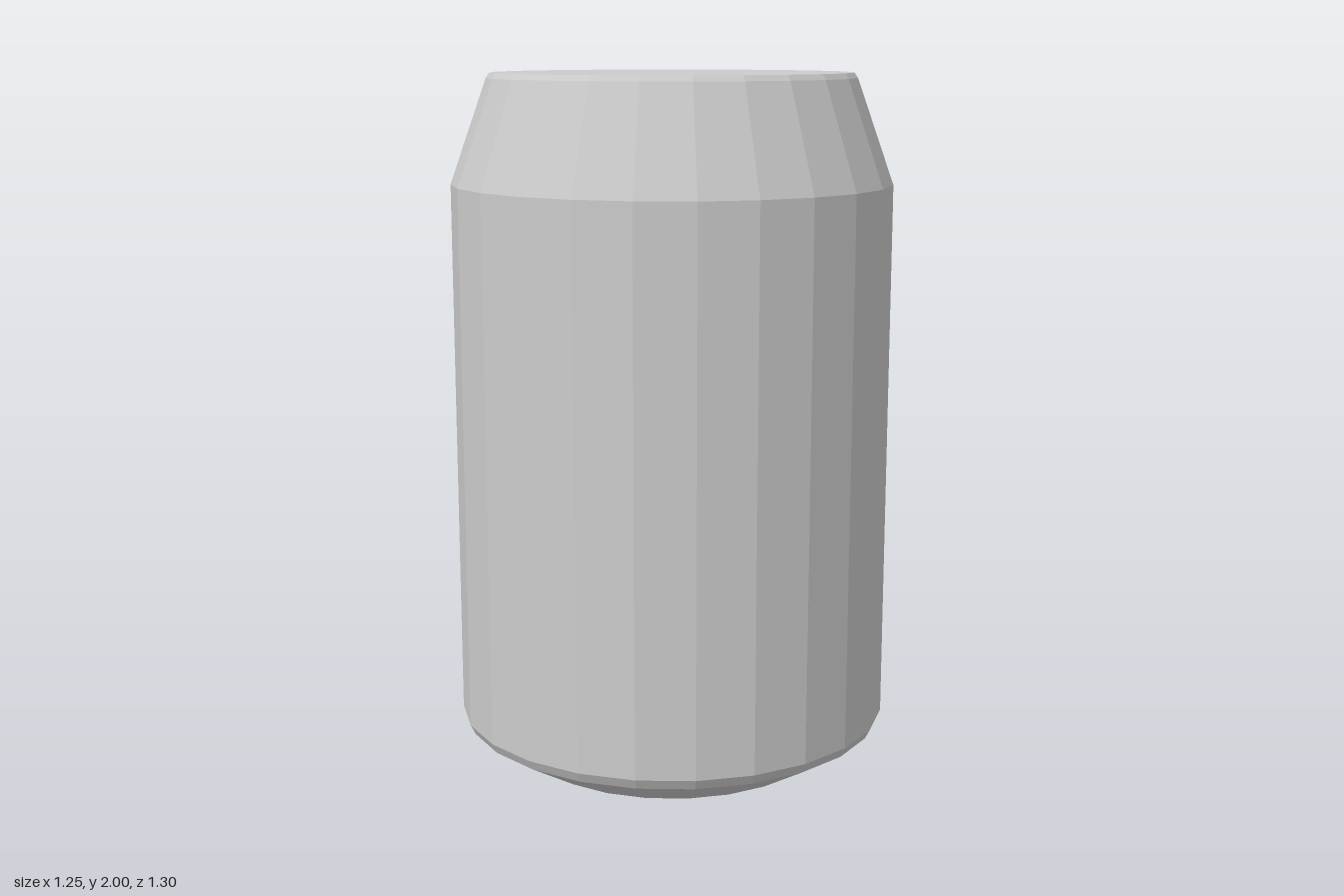
import * as THREE from 'three';
import { ConvexGeometry } from 'three/addons/geometries/ConvexGeometry.js';

const SIDES = 24;
const CENTRE_Z = 0.025;

// One ring of points round the can's axis, with a flat side facing front
function ring(radius, y) {
  return Array.from({ length: SIDES }, (_, i) => {
    const a = ((i + 0.5) / SIDES) * Math.PI * 2;
    return new THREE.Vector3(Math.sin(a) * radius, y, CENTRE_Z + Math.cos(a) * radius);
  });
}

export function createModel() {
  const model = new THREE.Group();
  model.name = 'can';

  // Can profile from base to lid: [radius, height]
  const profile = [
    [0.45, 0], [0.615, 0.1], [0.63, 0.13],
    [0.63, 1.69], [0.525, 1.985], [0.515, 2],
  ];
  const points = profile.flatMap(([r, y]) => ring(r, y));

  // Back corner bulge: the pulled-out tip and the crease beside it
  points.push(
    new THREE.Vector3(0.4, 0.76, -0.648),
    new THREE.Vector3(0.4, 0.79, -0.648),
    new THREE.Vector3(0.385, 0.775, -0.65),
    new THREE.Vector3(0.565, 0.77, -0.33),
  );

  const body = new THREE.Mesh(
    new ConvexGeometry(points),
    new THREE.MeshStandardMaterial({ color: 0xcccccc, flatShading: true }),
  );
  body.name = 'canBody';
  model.add(body);
  return model;
}
